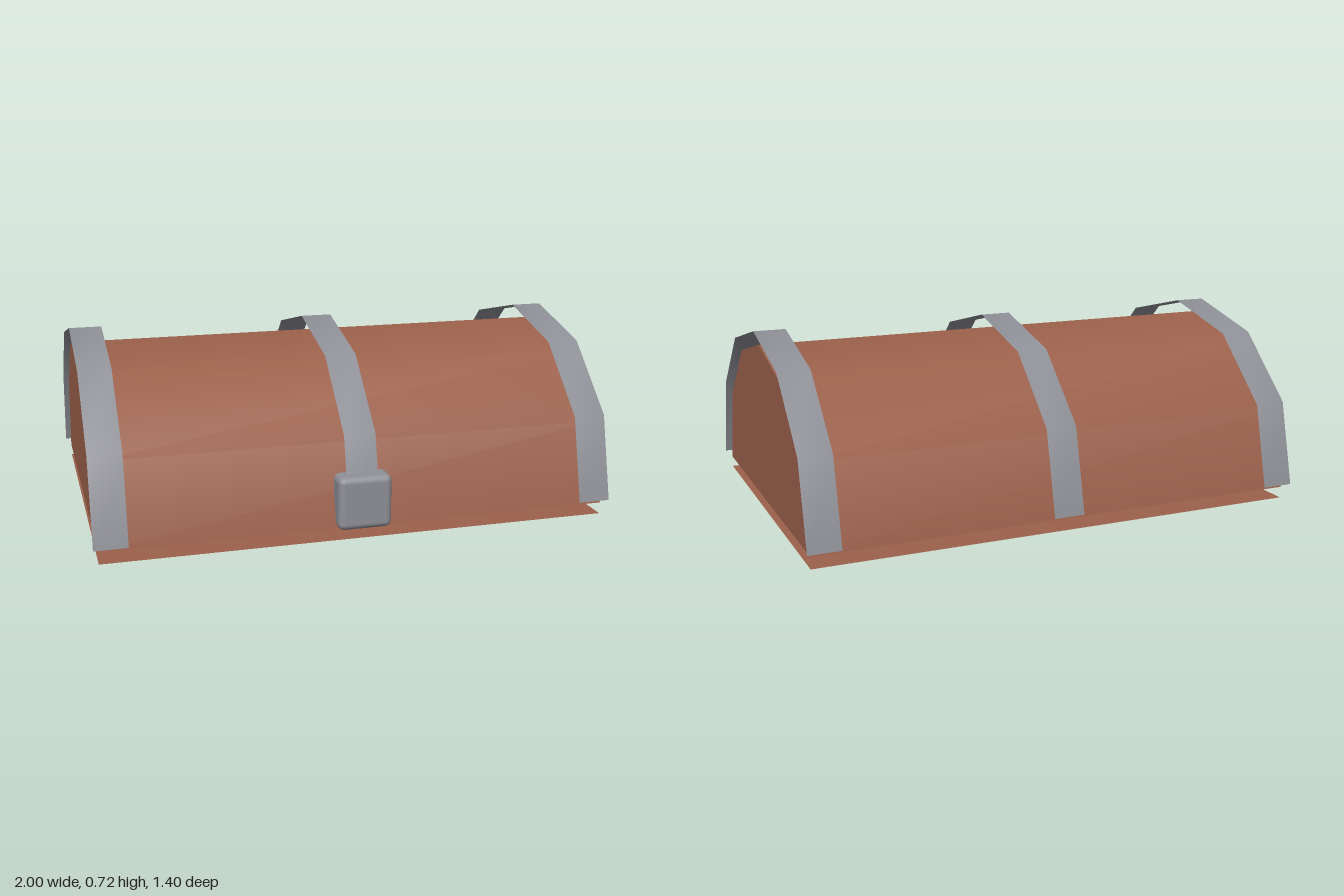
import * as THREE from 'three';
import { RoundedBoxGeometry } from 'three/addons/geometries/RoundedBoxGeometry.js';

// Faceted arch profiles as [z, y], running from the front edge over the top to the back
const LID = [[0.66, 0.045], [0.573, 0.355], [0.33, 0.585], [0, 0.667], [-0.337, 0.585], [-0.58, 0.355], [-0.668, 0.045]];
const STRAP = [[0.692, 0.065], [0.612, 0.39], [0.352, 0.634], [-0.006, 0.722], [-0.364, 0.634], [-0.624, 0.39], [-0.704, 0.065]];

// Smooth open sheet that carries a profile from x0 to x1
function archSheet(profile, x0, x1) {
  const positions = [];
  const index = [];
  profile.forEach(([z, y], i) => {
    positions.push(x0, y, z, x1, y, z);
    if (i < profile.length - 1) {
      const a = i * 2;
      index.push(a, a + 1, a + 3, a, a + 3, a + 2);
    }
  });
  const geometry = new THREE.BufferGeometry();
  geometry.setAttribute('position', new THREE.Float32BufferAttribute(positions, 3));
  geometry.setIndex(index);
  geometry.computeVertexNormals();
  return geometry;
}

export function createModel() {
  const leather = new THREE.MeshStandardMaterial({ color: 0x9c614b, side: THREE.DoubleSide });
  leather.name = 'brown';
  const metal = new THREE.MeshStandardMaterial({ color: 0x8f9097, side: THREE.DoubleSide });
  metal.name = 'grey';

  const group = new THREE.Group();
  group.name = 'chestLid';
  const add = (name, geometry, material) => {
    const mesh = new THREE.Mesh(geometry, material);
    mesh.name = name;
    group.add(mesh);
    return mesh;
  };

  // Curved lid and its two flat ends
  add('lidArch', archSheet(LID, -0.98, 0.98), leather);
  for (const side of [-1, 1]) {
    const outline = new THREE.Shape(LID.map(([z, y]) => new THREE.Vector2(-side * z, y)));
    const end = new THREE.ShapeGeometry(outline).rotateY(side * Math.PI / 2);
    add(side > 0 ? 'leftEnd' : 'rightEnd', end, leather).position.x = side * 0.98;
  }

  // Thin base sheet, just below the lid
  const base = add('base', new THREE.PlaneGeometry(1.96, 1.328).rotateX(-Math.PI / 2), leather);
  base.position.z = -0.004;

  // Raised metal straps
  add('rightStrap', archSheet(STRAP, -1, -0.875), metal);
  add('middleStrap', archSheet(STRAP, -0.062, 0.06), metal);
  add('leftStrap', archSheet(STRAP, 0.875, 1), metal);

  // Latch at the front of the middle strap
  const latch = add('latch', new RoundedBoxGeometry(0.206, 0.205, 0.1, 4, 0.025), metal);
  latch.position.set(0, 0.148, 0.65);

  return group;
}
